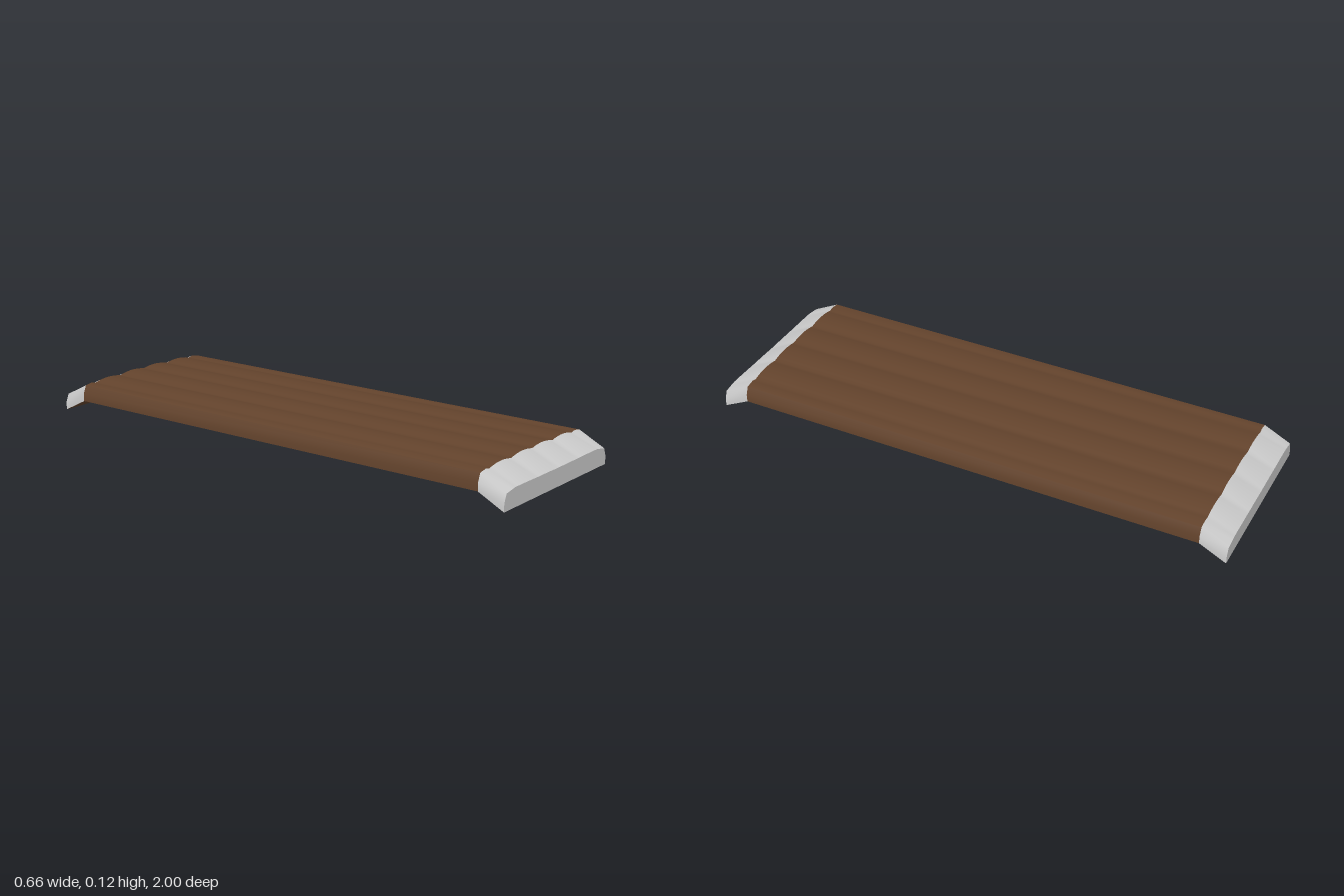
import * as THREE from 'three';
import { toCreasedNormals } from 'three/addons/utils/BufferGeometryUtils.js';

const W = 0.33, BODY_Z = 0.9, END_Z = 1, LIFT = 0.05, PITCH = 0.1325;

// Top-and-sides outline, from the left lower edge over the top to the right one.
// base: height of the underside, bump: height of the four crowned planks
function outline(base, bump, shoulder) {
  const half = [[W, 0], [W, 0.03], [0.318, 0.06], [0.285, 0.0655], [2 * PITCH, shoulder]];
  const pts = half.map(([x, y]) => new THREE.Vector2(x, base + y));
  const steps = 8;
  for (let i = 1; i < 4 * steps; i++) {
    const t = (i % steps) / steps;
    const x = 2 * PITCH - (i / steps) * PITCH;
    const edge = THREE.MathUtils.lerp(0.0665, shoulder, Math.abs(x) / (2 * PITCH));
    pts.push(new THREE.Vector2(x, base + edge + bump * 4 * t * (1 - t)));
  }
  half.reverse().forEach(([x, y]) => pts.push(new THREE.Vector2(-x, base + y)));
  return pts;
}

// Strip between two matching outlines at z0 < z1
function loft(back, z0, front, z1) {
  const pos = [], index = [], n = front.length;
  front.forEach((p) => pos.push(p.x, p.y, z1));
  back.forEach((p) => pos.push(p.x, p.y, z0));
  for (let i = 0; i < n - 1; i++) {
    index.push(i, n + i, n + i + 1, i, n + i + 1, i + 1);
  }
  const g = new THREE.BufferGeometry();
  g.setAttribute('position', new THREE.Float32BufferAttribute(pos, 3));
  g.setIndex(index);
  return toCreasedNormals(g, 0.6);
}

export function createModel() {
  const model = new THREE.Group();
  model.name = 'plankRamp';
  const wood = new THREE.MeshStandardMaterial({ color: 0x63432c });
  const grey = new THREE.MeshStandardMaterial({ color: 0xcccccc });
  const add = (parent, name, geometry, material) => {
    const mesh = new THREE.Mesh(geometry, material);
    mesh.name = name;
    parent.add(mesh);
  };
  const bottom = (y) => [new THREE.Vector2(-W, y), new THREE.Vector2(W, y)];

  const bodyLine = outline(LIFT, 0.0085, 0.061);
  const lipLine = outline(0, 0.0005, 0.0685);

  // Wooden deck
  add(model, 'deck', loft(bodyLine, -BODY_Z, bodyLine, BODY_Z), wood);
  add(model, 'deckUnderside', loft(bottom(LIFT), -BODY_Z, bottom(LIFT), BODY_Z), wood);

  // Sloping end pieces, the back one turned around
  for (const name of ['frontEnd', 'backEnd']) {
    const end = new THREE.Group();
    end.name = name;
    add(end, name + 'Slope', loft(bodyLine, BODY_Z, lipLine, END_Z), grey);
    add(end, name + 'Underside', loft(bottom(LIFT), BODY_Z, bottom(0), END_Z), wood);
    const face = new THREE.ShapeGeometry(new THREE.Shape(lipLine));
    face.translate(0, 0, END_Z);
    add(end, name + 'Face', face, grey);
    if (name === 'backEnd') end.rotation.y = Math.PI;
    model.add(end);
  }
  return model;
}
